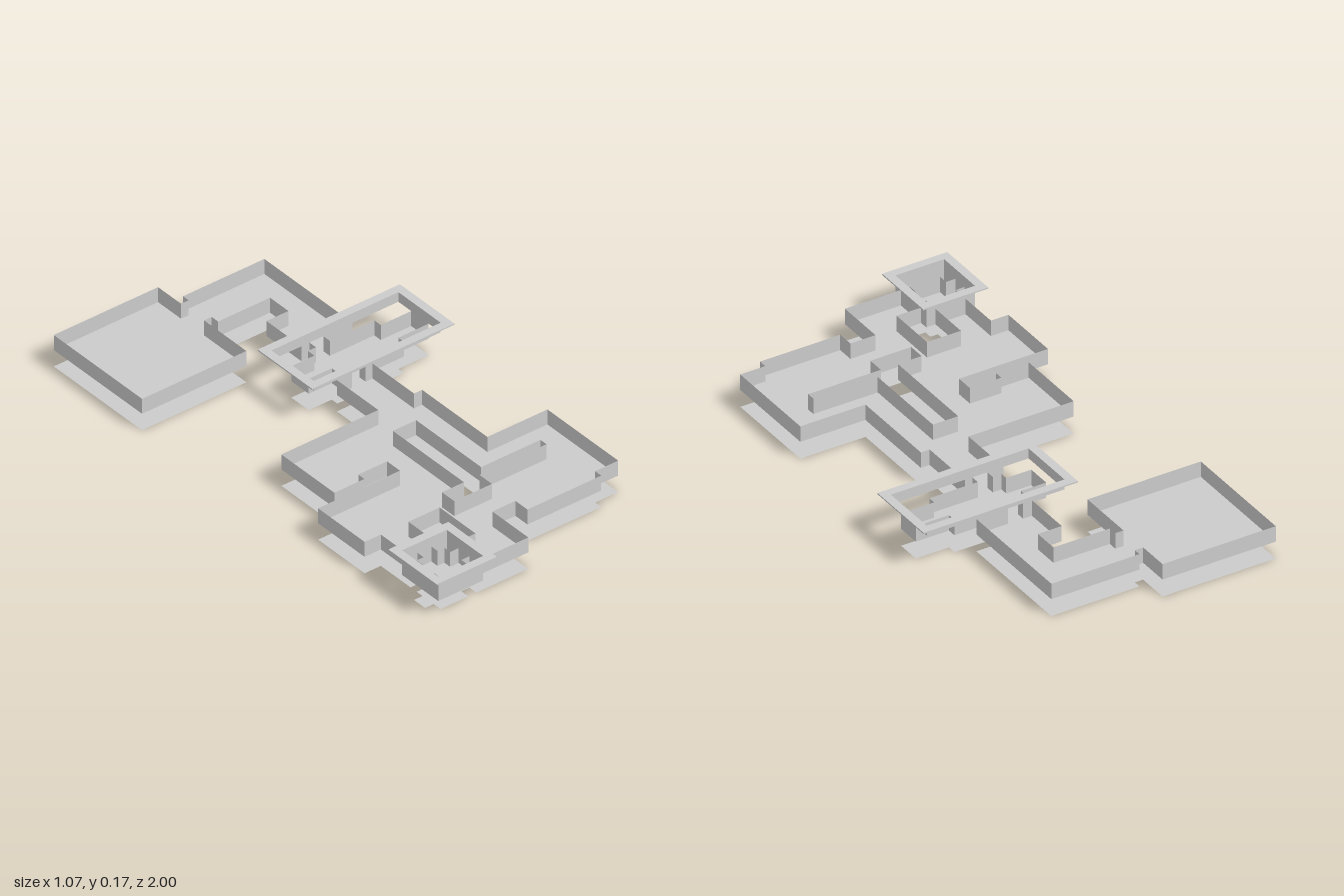
import * as THREE from 'three';
import { mergeGeometries } from 'three/addons/utils/BufferGeometryUtils.js';

const material = new THREE.MeshStandardMaterial({ color: 0xcccccc, flatShading: true, side: THREE.DoubleSide });
const WALL_BOTTOM = 0.068, WALL_TOP = 0.13, RIM_BOTTOM = 0.165, RIM_TOP = 0.17;

// Right-angled closed outline: each pair moves first to its x, then to its z
function outline(steps) {
  const points = [];
  let z = steps[steps.length - 1];
  for (let i = 0; i < steps.length; i += 2) {
    points.push([steps[i], z]);
    z = steps[i + 1];
    points.push([steps[i], z]);
  }
  return points;
}

const rectangle = (x0, z0, x1, z1) => outline([x1, z1, x0, z0]);
const toVectors = (points) => points.map(([x, z]) => new THREE.Vector2(x, -z));

// Horizontal flat shape with holes, extruded upward when thickness is given
function slab(points, holes, y, thickness = 0) {
  const shape = new THREE.Shape(toVectors(points));
  shape.holes = holes.map((h) => new THREE.Path(toVectors(h)));
  const geometry = thickness
    ? new THREE.ExtrudeGeometry(shape, { depth: thickness, bevelEnabled: false })
    : new THREE.ShapeGeometry(shape);
  return geometry.rotateX(-Math.PI / 2).translate(0, y, 0);
}

// One thin upright panel between two plan points
function panel([x0, z0], [x1, z1], y0, y1) {
  return new THREE.PlaneGeometry(Math.hypot(x1 - x0, z1 - z0), y1 - y0)
    .rotateY(Math.atan2(z0 - z1, x1 - x0))
    .translate((x0 + x1) / 2, (y0 + y1) / 2, (z0 + z1) / 2);
}

const walls = (points, y0, y1) =>
  mergeGeometries(points.map((p, i) => panel(p, points[(i + 1) % points.length], y0, y1)));

export function createModel() {
  const model = new THREE.Group();
  const add = (name, geometry) => {
    const mesh = new THREE.Mesh(geometry, material);
    mesh.name = name;
    model.add(mesh);
  };

  // Plan of all rooms and corridors
  const plan = outline([
    -0.083, -0.875, -0.05, -0.905, 0.302, -0.425, 0.175, -0.39, 0.368, -0.355, 0.5, -0.26,
    0.368, -0.23, 0.175, -0.195, 0.205, 0.03, 0.24, 0.385, 0.5, 0.77, 0.4, 0.803,
    0.08, 0.738, -0.02, 0.933, -0.245, 0.895, -0.28, 0.933, -0.4, 0.895, -0.437, 0.835,
    -0.4, 0.803, -0.37, 0.77, -0.4, 0.608, -0.47, 0.355, -0.115, 0.285, -0.24, 0.318,
    -0.37, 0.03, 0.05, -0.195, 0.115, -0.23, 0.08, -0.26, -0.02, -0.355, 0.08, -0.39,
    0.115, -0.425, 0.08, -0.615, 0.175, -0.715, -0.05, -0.75, -0.083, -0.52, -0.535, -1,
  ]);
  // Gaps enclosed by the corridors
  const centreGap = outline([0.113, 0.51, 0.37, 0.543, 0.08, 0.61, -0.083, 0.543, 0.012, 0.157]);
  const frontGap = outline([-0.145, 0.803, -0.245, 0.835, -0.28, 0.803, -0.31, 0.77, -0.28, 0.608]);
  const gaps = [centreGap, frontGap];

  // Lowest sheet, and the floor that carries the walls
  add('baseSheet', slab(plan, gaps, 0));
  add('floor', slab(plan, gaps, WALL_BOTTOM));
  add('outerWalls', walls(plan, WALL_BOTTOM, WALL_TOP));
  add('centreGapWalls', walls(centreGap, WALL_BOTTOM, WALL_TOP));
  add('frontGapWalls', walls(frontGap, WALL_BOTTOM, WALL_TOP));

  // Two raised halls, each with walls and an overhanging rim
  const halls = [
    ['largeHall', WALL_TOP, -0.05, -0.425, 0.5, -0.195],
    ['smallHall', WALL_BOTTOM, -0.437, 0.77, -0.243, 0.967],
  ];
  for (const [name, bottom, x0, z0, x1, z1] of halls) {
    const inner = rectangle(x0, z0, x1, z1);
    const outer = rectangle(x0 - 0.033, z0 - 0.033, x1 + 0.033, z1 + 0.033);
    add(name + 'Walls', walls(inner, bottom, RIM_BOTTOM));
    add(name + 'Rim', slab(outer, [inner], RIM_BOTTOM, RIM_TOP - RIM_BOTTOM));
  }

  return model;
}
